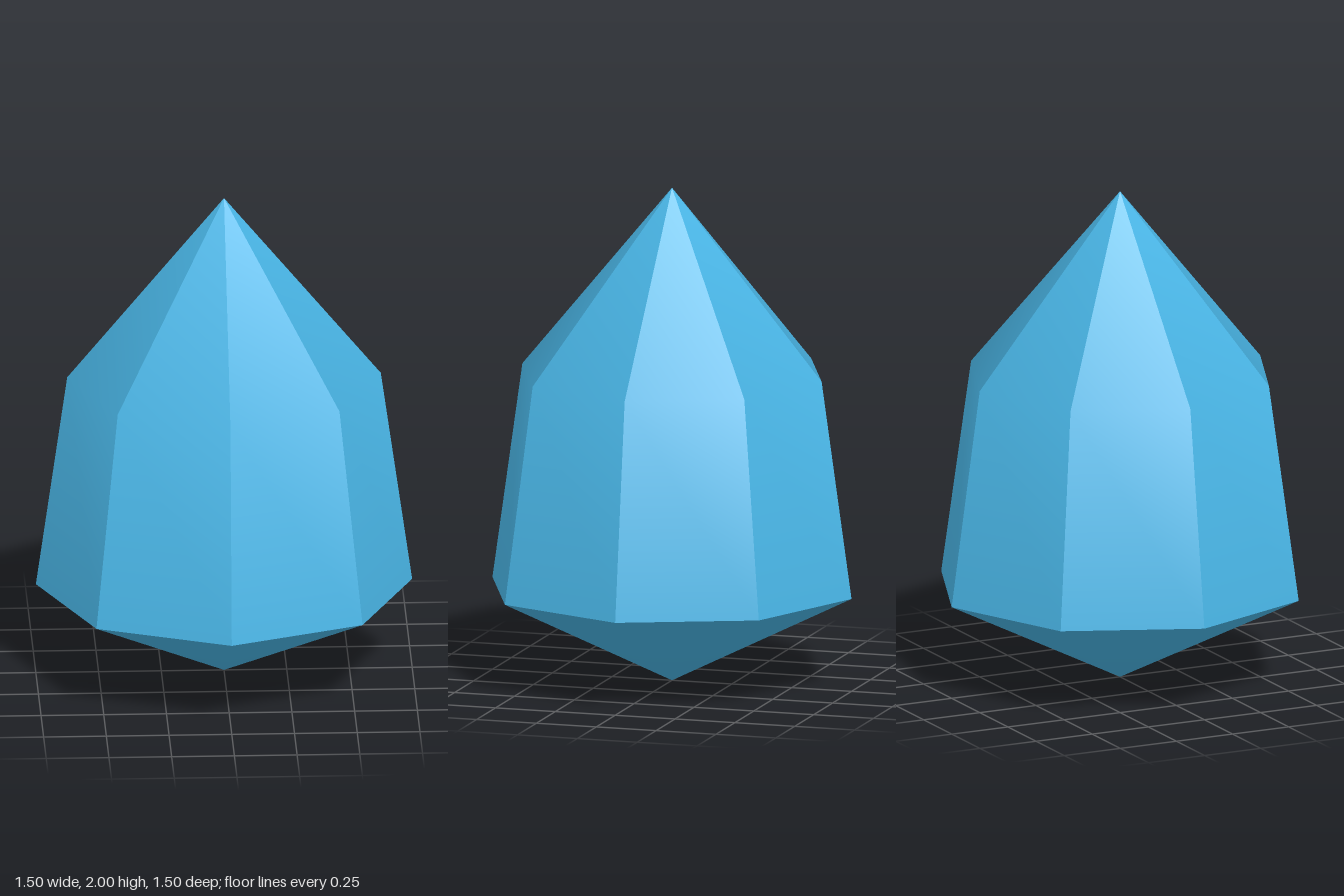
import * as THREE from 'three';
import { toCreasedNormals } from 'three/addons/utils/BufferGeometryUtils.js';

export function createModel() {
  const group = new THREE.Group();
  group.name = 'crystal';

  const crystalBlue = new THREE.MeshStandardMaterial({ color: 0x4fc3f7 });
  crystalBlue.name = 'crystalBlue';

  // Eight-sided gem: bottom point, wide girdle, narrower shoulder, tall tip
  const profile = [
    [0, 0],
    [0.75, 0.375],
    [0.625, 1.25],
    [0, 2],
  ].map(([radius, y]) => new THREE.Vector2(radius, y));

  // Crisp facet edges, with softened shoulder and underside
  const geometry = toCreasedNormals(new THREE.LatheGeometry(profile, 8), 0.55);
  const body = new THREE.Mesh(geometry, crystalBlue);
  body.name = 'crystalBody';
  group.add(body);

  return group;
}
